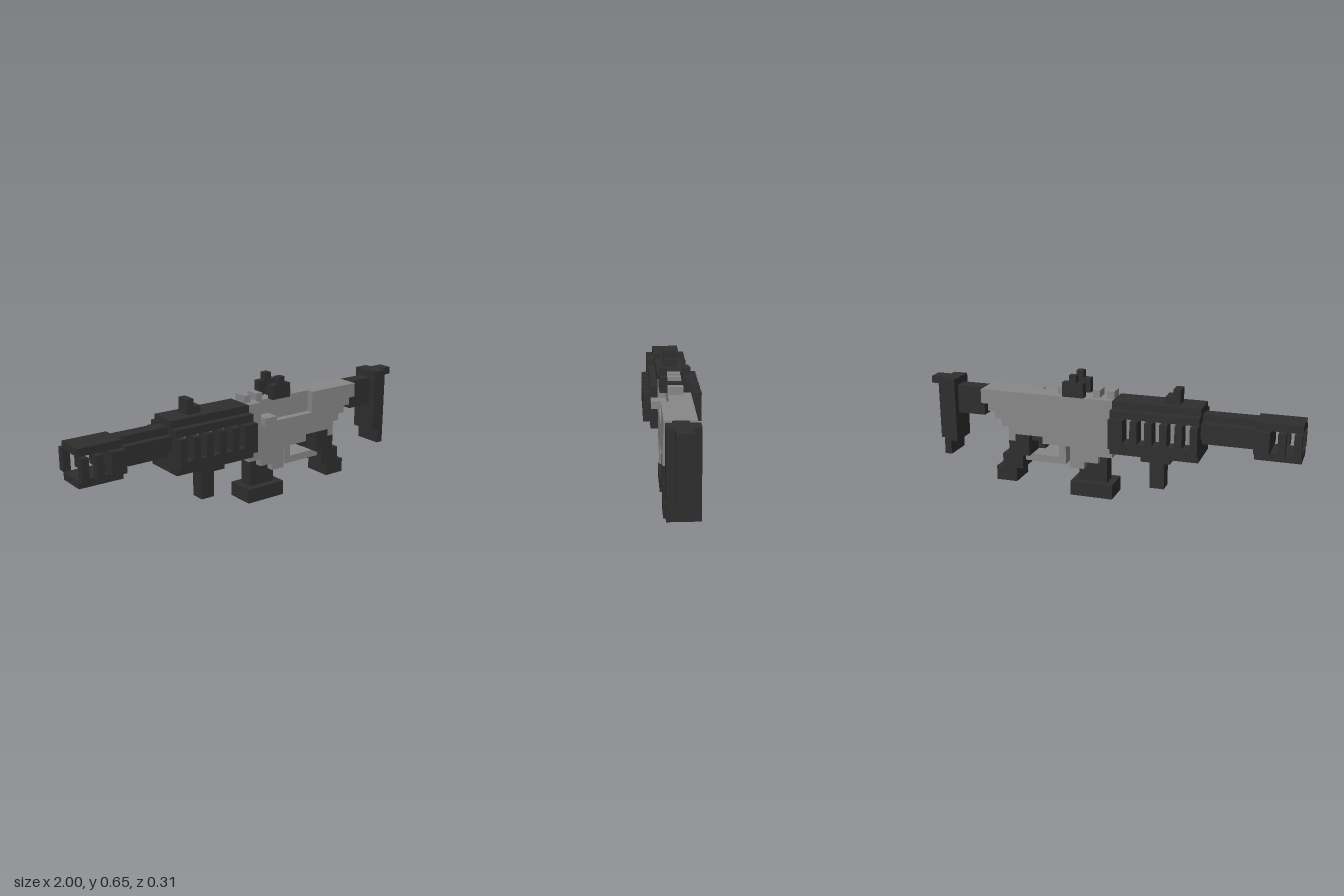
import * as THREE from 'three';

// Block grid: 52 units long, 17 high; x counts from the muzzle, y from the ground
const U = 2 / 52;

export function createModel() {
  const root = new THREE.Group();
  root.name = 'blockRifle';
  const dark = new THREE.MeshStandardMaterial({ color: 0x2e2e2e });
  dark.name = 'darkPolymer';
  const grey = new THREE.MeshStandardMaterial({ color: 0x888888 });
  grey.name = 'greyMetal';

  const part = (name) => {
    const g = new THREE.Group();
    g.name = name;
    root.add(g);
    return g;
  };

  // Box between grid limits
  const box = (parent, name, mat, x0, x1, y0, y1, z0, z1) => {
    const m = new THREE.Mesh(new THREE.BoxGeometry((x1 - x0) * U, (y1 - y0) * U, (z1 - z0) * U), mat);
    m.position.set(((x0 + x1) / 2 - 26) * U, ((y0 + y1) / 2) * U, ((z0 + z1) / 2) * U);
    m.name = name;
    parent.add(m);
  };
  // Box centred on z = 0
  const mid = (parent, name, mat, x0, x1, y0, y1, h) => box(parent, name, mat, x0, x1, y0, y1, -h, h);
  // Box mirrored on both sides
  const pair = (parent, name, mat, x0, x1, y0, y1, z0, z1) => {
    box(parent, name + 'Left', mat, x0, x1, y0, y1, z0, z1);
    box(parent, name + 'Right', mat, x0, x1, y0, y1, -z1, -z0);
  };
  // Side outline extruded through z
  const slab = (parent, name, mat, pts, z0, z1) => {
    const shape = new THREE.Shape(pts.map(([x, y]) => new THREE.Vector2((x - 26) * U, y * U)));
    const geo = new THREE.ExtrudeGeometry(shape, { depth: (z1 - z0) * U, bevelEnabled: false });
    const m = new THREE.Mesh(geo, mat);
    m.position.z = z0 * U;
    m.name = name;
    parent.add(m);
  };

  // Hollow muzzle brake with slotted sides
  const muzzle = part('muzzleBrake');
  mid(muzzle, 'brakeTop', dark, 0, 6, 12, 13, 2);
  mid(muzzle, 'brakeBottom', dark, 0, 6, 8, 9, 2);
  for (const x of [0, 2]) pair(muzzle, 'brakeBar', dark, x, x + 1, 9, 12, 2, 3);
  mid(muzzle, 'brakeRear', dark, 4, 6, 9, 12, 3);

  // Barrel with a stepped round section
  const barrel = part('barrel');
  mid(barrel, 'barrelCore', dark, 6, 13, 9, 13, 1);
  pair(barrel, 'barrelSide', dark, 6, 13, 10, 12, 1, 2);

  // Handguard: grey inner tube seen through ribbed sides
  const guard = part('handguard');
  mid(guard, 'innerTube', grey, 14, 24, 9, 12, 2);
  mid(guard, 'topRail', dark, 13, 25, 13, 14, 2);
  mid(guard, 'upperShell', dark, 13, 25, 12, 13, 3);
  mid(guard, 'lowerShell', dark, 13, 25, 7, 8, 3);
  mid(guard, 'lowerLedge', dark, 13, 25, 8, 9, 4);
  mid(guard, 'frontRib', dark, 13, 14, 9, 12, 4);
  mid(guard, 'rearRib', dark, 23, 25, 9, 12, 4);
  for (let x = 15; x < 23; x += 2) pair(guard, 'rib', dark, x, x + 1, 9, 12, 2, 4);

  const foregrip = part('foregrip');
  mid(foregrip, 'foregripMount', dark, 17, 21, 6, 7, 2);
  mid(foregrip, 'foregripShaft', dark, 18, 20, 2, 6, 1);

  const frontSight = part('frontSight');
  mid(frontSight, 'sightBase', dark, 16, 18, 14, 15, 1);
  mid(frontSight, 'sightPost', dark, 16, 17, 15, 16, 1);

  // Receiver: full profile, plus a left layer with the port cut out
  const receiver = part('receiver');
  const lower = [
    [25, 6], [27, 6], [27, 5], [29, 5], [29, 4], [31, 4], [31, 7], [35, 7], [35, 8],
    [39, 8], [39, 7], [40, 7], [40, 9], [41, 9], [41, 10], [42, 10], [42, 11],
    [43, 11], [43, 12], [44, 12], [44, 14],
  ];
  slab(receiver, 'receiverBody', grey, [...lower, [25, 14]], -2, 1);
  slab(receiver, 'receiverLeftPlate', grey,
    [...lower, [36, 14], [36, 11], [27, 11], [27, 14], [25, 14]], 1, 2);
  box(receiver, 'chargingHandle', grey, 27, 29, 11, 12, 1, 3);
  for (const x of [25, 27, 32]) mid(receiver, 'railBlock', grey, x, x + 1, 14, 15, 1);

  const rearSight = part('rearSight');
  pair(rearSight, 'sightWall', dark, 29, 32, 14, 16, 1, 2);
  pair(rearSight, 'sightEar', dark, 30, 31, 16, 17, 1, 2);
  mid(rearSight, 'sightBridge', dark, 30, 31, 14, 15, 1);

  const magazine = part('magazine');
  mid(magazine, 'magazineBody', dark, 26, 30, 2, 5.5, 1);
  mid(magazine, 'magazineBase', dark, 25, 31, 0, 2, 2);

  // Trigger, its guard and the stepped grip
  const trigger = part('triggerGroup');
  mid(trigger, 'guardFront', grey, 32, 33, 5, 7, 1);
  mid(trigger, 'guardBottom', grey, 32, 38, 4, 5, 1);
  mid(trigger, 'triggerBar', dark, 35, 37, 7, 8, 1);
  mid(trigger, 'triggerBlade', dark, 35, 36, 6, 7, 1);

  const grip = part('pistolGrip');
  mid(grip, 'gripNeck', dark, 37, 39, 7, 8, 2);
  mid(grip, 'gripUpper', dark, 37, 40, 5, 7, 2);
  mid(grip, 'gripMiddle', dark, 38, 41, 3, 5, 2);
  mid(grip, 'gripFoot', dark, 39, 42, 1, 3, 2);

  // Shoulder stock
  const stock = part('stock');
  mid(stock, 'stockBar', dark, 44, 48, 10, 14, 1);
  mid(stock, 'stockPlate', dark, 48, 50, 6, 15, 2);
  mid(stock, 'stockToe', dark, 49, 50, 4, 6, 2);
  mid(stock, 'buttPad', dark, 50, 51, 6, 14, 1);
  mid(stock, 'buttCap', dark, 50, 52, 14, 15, 1);

  return root;
}
